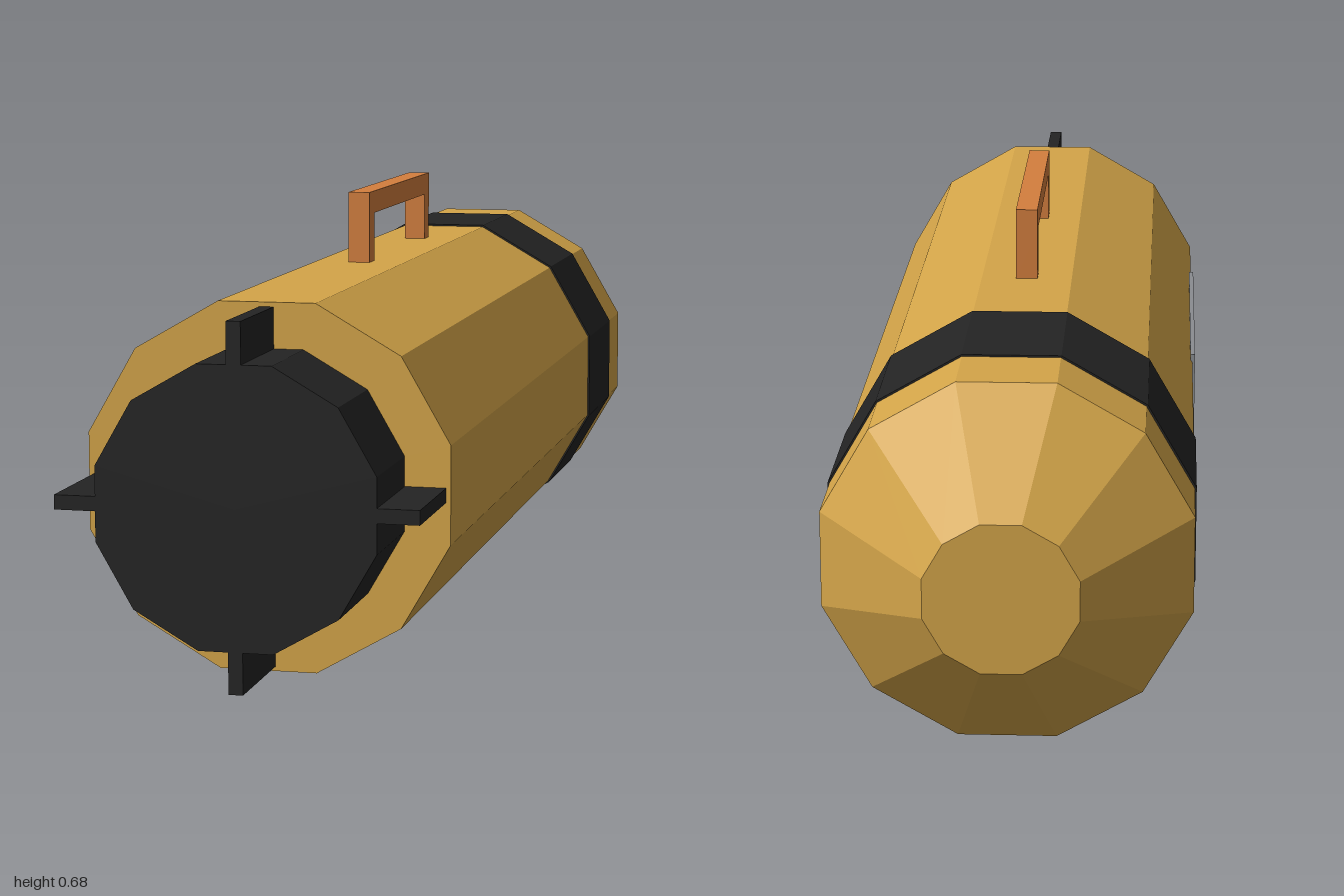
import * as THREE from 'three';

const AXIS_Y = 0.286;
const SIDES = 12;

function material(name, color) {
  const m = new THREE.MeshStandardMaterial({ color });
  m.name = name;
  return m;
}

export function createModel() {
  const gold = material('gold', 0xd4a549);
  const black = material('black', 0x242424);
  const copper = material('copper', 0xd47f3e);
  const grey = material('grey', 0x8a8d91);
  [gold, black, copper, grey].forEach((m) => (m.flatShading = true));

  const model = new THREE.Group();
  model.name = 'canister';

  function add(name, geometry, mat, x, y, z, parent = model) {
    const mesh = new THREE.Mesh(geometry, mat);
    mesh.name = name;
    mesh.position.set(x, y, z);
    parent.add(mesh);
    return mesh;
  }

  // Twelve-sided section along z with flats on top and sides; sizes are centre-to-flat
  function section(name, mat, front, back, zFront, zBack, open = false) {
    const k = 1 / Math.cos(Math.PI / SIDES);
    const g = new THREE.CylinderGeometry(front * k, back * k, zFront - zBack, SIDES, 1, open);
    g.rotateY(Math.PI / SIDES).rotateX(Math.PI / 2);
    return add(name, g, mat, 0, AXIS_Y, (zFront + zBack) / 2);
  }

  // Shell
  section('body', gold, 0.281, 0.281, 0.82, -0.84);
  section('nose', gold, 0.281, 0.115, -0.84, -1);
  section('band', black, 0.284, 0.284, -0.455, -0.706);
  section('tailCap', black, 0.211, 0.211, 1, 0.82);

  // Four fins around the tail cap
  const fins = new THREE.Group();
  fins.name = 'tailFins';
  fins.position.set(0, AXIS_Y, 0.91);
  model.add(fins);
  for (let i = 0; i < 4; i++) {
    const a = (i * Math.PI) / 2;
    const fin = add('fin', new THREE.BoxGeometry(0.085, 0.022, 0.18), black,
      Math.cos(a) * 0.2315, Math.sin(a) * 0.2315, 0, fins);
    fin.rotation.z = a;
  }

  // Carrying handle
  const handle = new THREE.Group();
  handle.name = 'handle';
  model.add(handle);
  add('handleBar', new THREE.BoxGeometry(0.036, 0.037, 0.47), copper, 0, 0.6665, 0, handle);
  for (const s of [-1, 1]) {
    add('handlePost', new THREE.BoxGeometry(0.036, 0.083, 0.037), copper, 0, 0.6065, s * 0.2165, handle);
  }

  // Plate on the right flank
  add('sidePlate', new THREE.BoxGeometry(0.008, 0.18, 0.58), grey, -0.2815, AXIS_Y, 0.27);

  return model;
}
